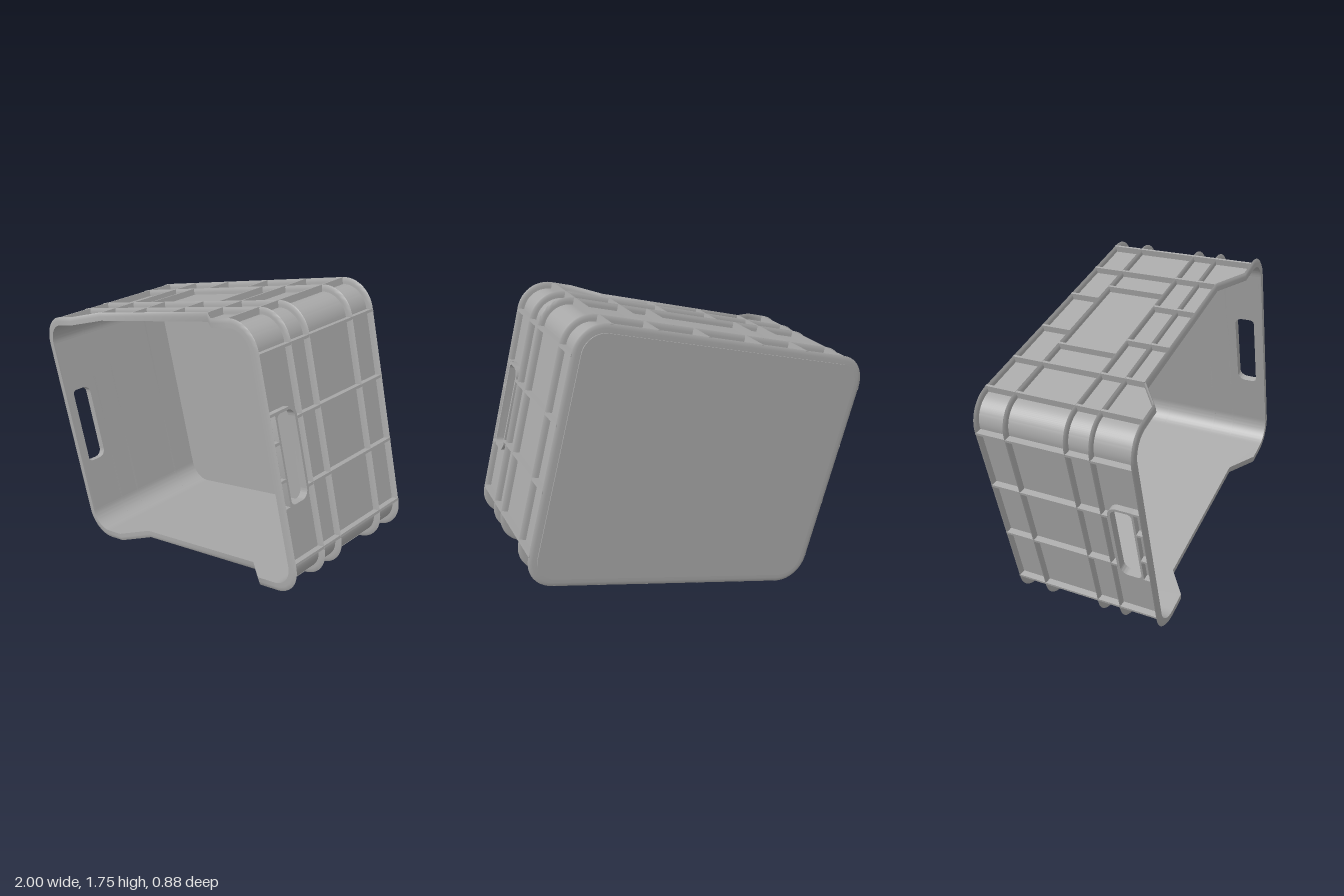
import * as THREE from 'three';
import { toCreasedNormals } from 'three/addons/utils/BufferGeometryUtils.js';

const HW = 0.8835, HH = 0.71, R = 0.165;  // outer half sizes and corner radius
const LIP = 0.036, WALL = 0.011;          // flange overhang and wall thickness
const BACK = -0.43, FRONT = 0.431, NOTCH = 0.318;
const NOTCH_OUT = 0.6, NOTCH_IN = 0.455;

// Depth of the front rim along a long side
function rimZ(u) {
  const t = (Math.abs(u) - NOTCH_IN) / (NOTCH_OUT - NOTCH_IN);
  return NOTCH + (FRONT - NOTCH) * THREE.MathUtils.clamp(t, 0, 1);
}

function roundedRect(target, x0, y0, x1, y1, rLow, rHigh) {
  target.moveTo(x0 + rLow, y0);
  target.lineTo(x1 - rLow, y0);
  target.absarc(x1 - rLow, y0 + rLow, rLow, -Math.PI / 2, 0);
  target.absarc(x1 - rHigh, y1 - rHigh, rHigh, 0, Math.PI / 2);
  target.absarc(x0 + rHigh, y1 - rHigh, rHigh, Math.PI / 2, Math.PI);
  target.absarc(x0 + rLow, y0 + rLow, rLow, Math.PI, Math.PI * 1.5);
  return target;
}

function extrude(shape, depth) {
  const g = new THREE.ExtrudeGeometry(shape, { depth, bevelEnabled: false, curveSegments: 12 });
  return toCreasedNormals(g, 0.6);
}

// Outline of the crate: point, outward direction and whether it lies on a long side
function outline() {
  const pts = [], n = 12;
  const corners = [[1, 1], [-1, 1], [-1, -1], [1, -1]];
  corners.forEach(([sx, sy], i) => {
    for (let k = 0; k <= n; k++) {
      const a = (i + k / n) * Math.PI / 2;
      pts.push({ x: sx * (HW - R), y: sy * (HH - R), nx: Math.cos(a), ny: Math.sin(a), r: R });
    }
    if (i % 2 === 0) {
      for (const u of [NOTCH_OUT, NOTCH_IN, -NOTCH_IN, -NOTCH_OUT]) {
        pts.push({ x: u * sy, y: sy * (HH - R), nx: 0, ny: sy, r: R });
      }
    }
  });
  return pts;
}

// Flange with a rounded outer edge swept around the outline
function flangeGeometry(zAt) {
  const w = LIP + WALL, h = 0.008;
  const profile = [[-w, -h], [-w * 0.5, -h * 0.9], [-w * 0.15, -h * 0.6], [0, 0],
    [-w * 0.15, h * 0.6], [-w * 0.5, h * 0.9], [-w, h]];
  const path = outline(), pos = [], idx = [], m = profile.length;
  for (const p of path) {
    for (const [d, dz] of profile) {
      pos.push(p.x + p.nx * (p.r + d), p.y + p.ny * (p.r + d), zAt(p) + dz);
    }
  }
  path.forEach((_, i) => {
    const j = (i + 1) % path.length;
    for (let k = 0; k < m; k++) {
      const l = (k + 1) % m;
      idx.push(i * m + k, j * m + k, j * m + l, i * m + k, j * m + l, i * m + l);
    }
  });
  const g = new THREE.BufferGeometry();
  g.setAttribute('position', new THREE.Float32BufferAttribute(pos, 3));
  g.setIndex(idx);
  return toCreasedNormals(g, 1.0);
}

export function createModel() {
  const grey = new THREE.MeshStandardMaterial({ color: 0xa8a8a8, side: THREE.DoubleSide });
  grey.name = 'grey plastic';
  const model = new THREE.Group();
  model.name = 'crate';
  const body = new THREE.Group();
  body.name = 'tiltedCrate';
  body.rotation.z = Math.PI / 12;
  body.position.y = 0.8775;
  model.add(body);

  function add(parent, name, geometry, x = 0, y = 0, z = 0) {
    const mesh = new THREE.Mesh(geometry, grey);
    mesh.name = name;
    mesh.position.set(x, y, z);
    parent.add(mesh);
    return mesh;
  }

  // Side frame: x along the wall, y towards the open front, z outward from the wall face
  function sideGroup(name, nx, ny) {
    const side = new THREE.Group();
    side.name = name;
    const out = new THREE.Vector3(nx, ny, 0), up = new THREE.Vector3(0, 0, 1);
    side.quaternion.setFromRotationMatrix(
      new THREE.Matrix4().makeBasis(up.clone().cross(out), up, out));
    side.position.copy(out).multiplyScalar((nx ? HW : HH) - LIP);
    body.add(side);
    return side;
  }
  function rib(side, x, from, to) {
    const depth = LIP - 0.001;
    add(side, 'rib', new THREE.BoxGeometry(0.014, to - from, depth), x, (from + to) / 2, depth / 2);
  }

  // Floor plate
  const inset = LIP + WALL;
  const floor = roundedRect(new THREE.Shape(), -HW + inset, -HH + inset,
    HW - inset, HH - inset, R - inset, R - inset);
  add(body, 'floor', extrude(floor, 0.02), 0, 0, -0.441);

  // Long walls with a lowered front edge
  for (const s of [1, -1]) {
    const side = sideGroup('longSide', 0, s);
    const e = HW - R;
    const shape = new THREE.Shape([[-e, BACK], [e, BACK], [e, FRONT], [NOTCH_OUT, FRONT],
      [NOTCH_IN, NOTCH], [-NOTCH_IN, NOTCH], [-NOTCH_OUT, FRONT], [-e, FRONT]]
      .map(([x, y]) => new THREE.Vector2(x, y)));
    add(side, 'longWall', extrude(shape, WALL), 0, 0, -WALL);
    for (const m of [1, -1]) {
      rib(side, m * 0.71, BACK, FRONT);
      rib(side, m * 0.455, BACK, NOTCH);
      rib(side, m * 0.285, -0.257, 0.078);
      rib(side, m * 0.163, BACK, -0.257);
      rib(side, m * 0.163, 0.078, NOTCH);
    }
  }

  // Short walls with a collared hand hole
  for (const s of [1, -1]) {
    const side = sideGroup('shortSide', s, 0);
    const e = HH - R;
    const hole = () => roundedRect(new THREE.Path(), -0.233, 0.264, 0.233, 0.384, 0.045, 0.025);
    const shape = new THREE.Shape([[-e, BACK], [e, BACK], [e, FRONT], [-e, FRONT]]
      .map(([x, y]) => new THREE.Vector2(x, y)));
    shape.holes.push(hole());
    add(side, 'shortWall', extrude(shape, WALL), 0, 0, -WALL);
    const collar = roundedRect(new THREE.Shape(), -0.247, 0.25, 0.247, 0.396, 0.056, 0.012);
    collar.holes.push(hole());
    add(side, 'handleCollar', extrude(collar, LIP - 0.002));
    for (const m of [1, -1]) {
      rib(side, m * 0.533, BACK, FRONT);
      rib(side, m * 0.178, BACK, 0.252);
      rib(side, m * 0.24, 0.39, FRONT);
      rib(side, m * 0.095, 0.39, FRONT);
    }
  }

  // Rounded corner walls
  const ro = R - LIP;
  const arc = new THREE.Shape();
  arc.absarc(0, 0, ro, 0, Math.PI / 2, false);
  arc.absarc(0, 0, ro - WALL, Math.PI / 2, 0, true);
  const cornerGeo = extrude(arc, FRONT - BACK);
  [[1, 1], [-1, 1], [-1, -1], [1, -1]].forEach(([sx, sy], i) => {
    const c = add(body, 'cornerWall', cornerGeo, sx * (HW - R), sy * (HH - R), BACK);
    c.rotation.z = i * Math.PI / 2;
  });

  // Flanges around the crate, and the front rim that dips along the long sides
  for (const z of [-0.427, -0.256, 0.078, 0.213]) add(body, 'flange', flangeGeometry(() => z));
  add(body, 'frontRim', flangeGeometry((p) => (p.nx === 0 ? rimZ(p.x) : FRONT)));

  return model;
}
